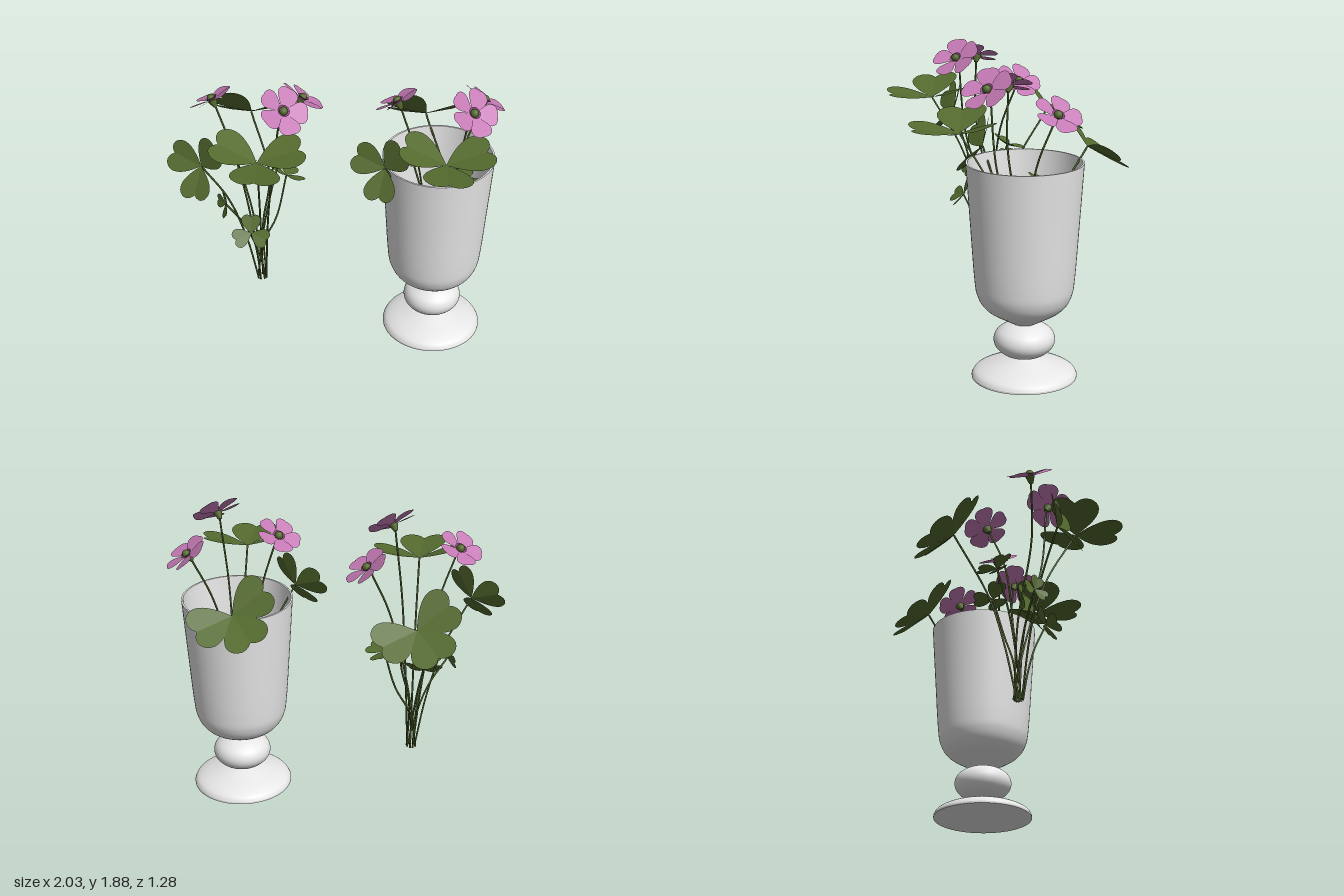
import * as THREE from 'three';

const V = (a) => new THREE.Vector3(...a);
const mat = (name, color) =>
  Object.assign(new THREE.MeshStandardMaterial({ color, side: THREE.DoubleSide }), { name });

const ceramic = mat('pale ceramic', 0xe8e8e8);
const leafGreen = mat('leaf green', 0x556b2f);
const stemGreen = mat('stem green', 0x4e622c);
const petalPink = mat('petal pink', 0xc57ab5);
const throatPurple = mat('throat purple', 0x8f4f84);

function mesh(name, geometry, material, parent) {
  const m = new THREE.Mesh(geometry, material);
  m.name = name;
  parent.add(m);
  return m;
}

// Places a group so its local y follows the normal and its local z the heading
function orient(group, pos, normal, heading) {
  const y = V(normal).normalize();
  const z = V(heading).projectOnPlane(y).normalize();
  const x = new THREE.Vector3().crossVectors(y, z);
  group.quaternion.setFromRotationMatrix(new THREE.Matrix4().makeBasis(x, y, z));
  group.position.copy(V(pos));
}

// Flat outline laid into the xz plane, then lifted by a rule
function bentSheet(shape, lift) {
  const g = new THREE.ShapeGeometry(shape, 8).rotateX(Math.PI / 2);
  const p = g.attributes.position;
  for (let i = 0; i < p.count; i++) p.setY(i, lift(p.getX(i), p.getZ(i)));
  g.computeVertexNormals();
  return g;
}

// One half of a heart-shaped leaflet; side is 1 or -1
function halfLeaflet(side) {
  const s = new THREE.Shape();
  s.moveTo(0, 0);
  s.bezierCurveTo(side * 0.13, 0.1, side * 0.52, 0.4, side * 0.53, 0.69);
  s.bezierCurveTo(side * 0.53, 0.95, side * 0.22, 1.12, 0, 0.88);
  s.closePath();
  return bentSheet(s, (x, z) => 0.24 * z + 0.1 * Math.abs(x));
}
const leafletHalves = [halfLeaflet(1), halfLeaflet(-1)];

function petalGeometry() {
  const s = new THREE.Shape();
  s.moveTo(-0.12, 0.1);
  s.bezierCurveTo(-0.2, 0.34, -0.45, 0.52, -0.44, 0.76);
  s.bezierCurveTo(-0.4, 1.0, -0.14, 1.04, 0, 1);
  s.bezierCurveTo(0.14, 1.04, 0.4, 1.0, 0.44, 0.76);
  s.bezierCurveTo(0.45, 0.52, 0.2, 0.34, 0.12, 0.1);
  s.closePath();
  return bentSheet(s, (x, z) => 0.22 * Math.sqrt(z) - 0.16 + 0.12 * x);
}
const petal = petalGeometry();

// Cup is how far the leaflets rise toward their tips
function leaf({ pos, normal, heading, size, spread = 2, cup = 1 }) {
  const g = new THREE.Group();
  g.name = 'leaf';
  for (const k of [-1, 0, 1]) {
    for (const half of leafletHalves) {
      const m = mesh('leaflet', half, leafGreen, g);
      m.rotation.y = k * spread;
      m.scale.set(size, size * cup, size);
    }
  }
  orient(g, pos, normal, heading);
  return g;
}

function flower({ pos, normal, heading, size }) {
  const g = new THREE.Group();
  g.name = 'flower';
  for (let i = 0; i < 5; i++) {
    const m = mesh('petal', petal, petalPink, g);
    m.rotation.y = (i * Math.PI * 2) / 5;
    m.scale.setScalar(size);
  }
  // Throat, centre and the green cup underneath
  mesh('throat', new THREE.CylinderGeometry(0.039, 0.012, 0.02, 10, 1, true), throatPurple, g).position.y = -0.005;
  mesh('flowerCentre', new THREE.SphereGeometry(0.026, 12, 8), leafGreen, g);
  mesh('calyx', new THREE.CylinderGeometry(0.029, 0.012, 0.045, 10), leafGreen, g).position.y = -0.036;
  orient(g, pos, normal, heading);
  return g;
}

// Stem rising steeply from the bundle, then leaning out to its head
function stem(index, head, via) {
  const a = index * 2.4;
  const base = new THREE.Vector3(-0.485 + 0.028 * Math.cos(a), 0.36, 0.028 * Math.sin(a));
  const end = V(head);
  const at = (t, lean) => new THREE.Vector3(
    base.x + (end.x - base.x) * lean, base.y + (end.y - base.y) * t, base.z + (end.z - base.z) * lean);
  const points = [base, at(0.35, 0.2), via ? V(via) : at(0.7, 0.52), end];
  return new THREE.TubeGeometry(new THREE.CatmullRomCurve3(points), 20, 0.006, 6);
}

const leaves = [
  // Large leaves
  { pos: [-0.55, 1.37, -0.4], normal: [-0.04, 0.72, -0.69], heading: [-0.64, -0.54, -0.55], size: 0.26, spread: 1.6, via: [-0.43, 1.05, -0.17] },
  { pos: [-0.81, 1.34, 0.175], normal: [-0.45, 0.38, 0.8], heading: [-1, 0.35, -0.4], size: 0.195, spread: 1.95, cup: 1.3 },
  { pos: [-0.46, 1.5, 0.37], normal: [0.07, 0.98, 0.14], heading: [0, 0, 1], size: 0.275, spread: 1.85, cup: 1.1 },
  // Small leaves
  { pos: [-0.62, 1.13, -0.15], normal: [0, 0.88, -0.4], heading: [0, 0, -1], size: 0.115 },
  { pos: [-0.32, 1.08, -0.12], normal: [0.38, 0.85, -0.2], heading: [0.2, 0, -1], size: 0.115, via: [-0.385, 0.8, -0.06] },
  { pos: [-0.69, 0.98, 0.06], normal: [-0.85, 0.15, 0.4], heading: [0, 1, 0.3], size: 0.085 },
  { pos: [-0.53, 0.83, 0.16], normal: [0, 0.62, 0.78], heading: [0, 1, -0.5], size: 0.115 },
];

const flowers = [
  { pos: [-0.745, 1.725, 0.025], normal: [-0.45, 0.84, -0.26], heading: [0, 0, 1], size: 0.135, via: [-0.62, 1.35, 0.06] },
  { pos: [-0.305, 1.775, 0.24], normal: [0.43, 0.73, 0.47], heading: [-0.6, 1, 0], size: 0.15, via: [-0.385, 1.3, 0.17] },
  { pos: [-0.21, 1.635, -0.145], normal: [0.52, 0.8, -0.26], heading: [0, 0, -1], size: 0.14, via: [-0.34, 1.3, -0.05] },
];

function bouquet() {
  const g = new THREE.Group();
  g.name = 'bouquet';
  leaves.forEach((l, i) => {
    g.add(leaf(l));
    mesh('leafStem', stem(i, l.pos, l.via), stemGreen, g);
  });
  flowers.forEach((f, i) => {
    g.add(flower(f));
    const head = V(f.pos).addScaledVector(V(f.normal).normalize(), -0.05);
    mesh('flowerStem', stem(i + leaves.length, head.toArray(), f.via), stemGreen, g);
  });
  return g;
}

// Smooth lathe through a few [radius, height] points
function turned(name, profile, parent, steps = 28) {
  const curve = new THREE.SplineCurve(profile.map(([r, y]) => new THREE.Vector2(r, y)));
  mesh(name, new THREE.LatheGeometry(curve.getPoints(steps), 64), ceramic, parent);
}

function vase() {
  const g = new THREE.Group();
  g.name = 'vase';
  turned('footBottom', [[0, 0], [0.314, 0]], g, 1);
  turned('footEdge', [[0.314, 0], [0.314, 0.012]], g, 1);
  turned('foot', [[0.314, 0.012], [0.295, 0.04], [0.24, 0.068], [0.15, 0.098], [0.085, 0.118], [0.063, 0.13]], g);
  turned('knop', [[0.063, 0.125], [0.12, 0.143], [0.168, 0.185], [0.183, 0.232], [0.166, 0.28], [0.12, 0.315], [0.07, 0.333]], g);
  turned('bowl', [[0.07, 0.333], [0.14, 0.372], [0.23, 0.43], [0.278, 0.505], [0.297, 0.62], [0.32, 0.95], [0.344, 1.31]], g, 40);
  turned('rim', [[0.344, 1.31], [0.333, 1.31]], g, 1);
  turned('bowlInside', [[0.333, 1.31], [0.309, 0.95], [0.286, 0.62], [0.264, 0.51], [0.2, 0.43], [0.1, 0.375], [0, 0.358]], g, 40);
  g.position.set(0.618, 0, -0.015);
  return g;
}

export function createModel() {
  const model = new THREE.Group();
  model.name = 'vaseWithFlowers';
  // The same bouquet stands alone and again inside the vase
  const loose = bouquet();
  const inVase = loose.clone();
  inVase.name = 'bouquetInVase';
  inVase.position.x = 1.1;
  model.add(loose, inVase, vase());
  return model;
}
